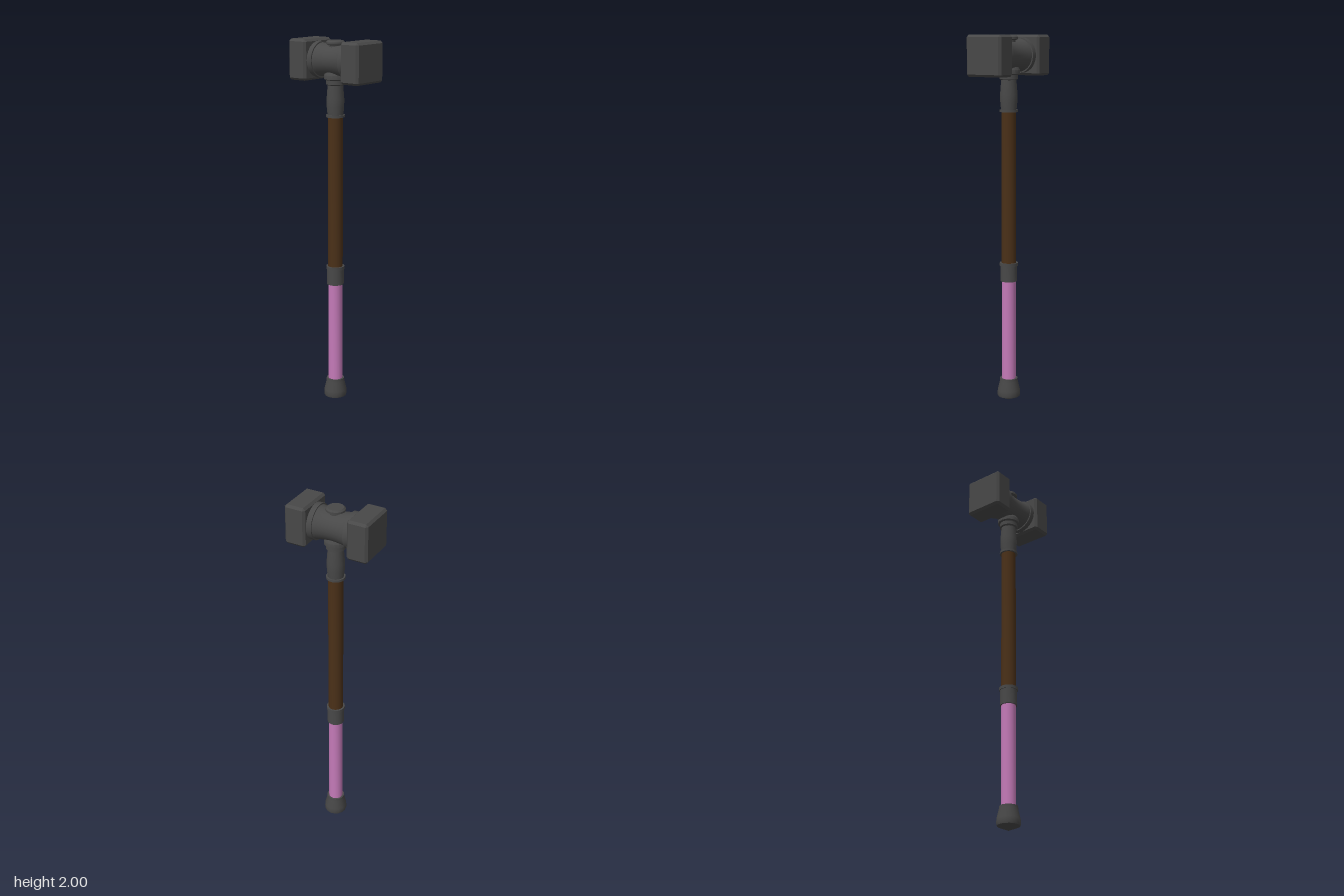
import * as THREE from 'three';
import { toCreasedNormals } from 'three/addons/utils/BufferGeometryUtils.js';
import { ConvexGeometry } from 'three/addons/geometries/ConvexGeometry.js';

const metal = new THREE.MeshStandardMaterial({ color: 0x484848 });
const wood = new THREE.MeshStandardMaterial({ color: 0x4a3018 });
const wrap = new THREE.MeshStandardMaterial({ color: 0xc47ab8 });

const HEAD_Y = 1.893;

// Turned part from [radius, height] pairs, listed from bottom to top
function turned(name, profile, material, sides = 16) {
  const points = profile.map(([r, y]) => new THREE.Vector2(r, y));
  const geometry = toCreasedNormals(new THREE.LatheGeometry(points, sides), 0.6);
  const mesh = new THREE.Mesh(geometry, material);
  mesh.name = name;
  return mesh;
}

// Box with flat chamfers on every edge
function chamferedBox(w, h, d, c) {
  const points = [];
  for (const x of [-1, 1]) for (const y of [-1, 1]) for (const z of [-1, 1]) {
    for (let axis = 0; axis < 3; axis++) {
      const inset = [0, 1, 2].map((i) => (i === axis ? 0 : c));
      points.push(new THREE.Vector3(
        x * (w / 2 - inset[0]), y * (h / 2 - inset[1]), z * (d / 2 - inset[2])));
    }
  }
  return new ConvexGeometry(points);
}

export function createModel() {
  const model = new THREE.Group();
  model.name = 'warHammer';

  // Shaft, from the pommel up
  model.add(
    turned('pommel', [
      [0, 0.005], [0.06, 0.03], [0.063, 0.04], [0.062, 0.065], [0.05, 0.115],
      [0.049, 0.132], [0, 0.132],
    ], metal),
    turned('grip', [[0.039, 0.12], [0.039, 0.69]], wrap),
    turned('gripCollar', [
      [0, 0.68], [0.046, 0.68], [0.046, 0.765], [0.05, 0.765], [0.05, 0.782], [0, 0.782],
    ], metal),
    turned('shaft', [[0.04, 0.77], [0.04, 1.61]], wood),
    turned('neck', [
      [0, 1.597], [0.05, 1.597], [0.05, 1.609], [0.042, 1.609], [0.046, 1.65],
      [0.047, 1.69], [0.041, 1.765], [0.05, 1.77], [0.05, 1.792], [0.06, 1.797],
      [0.06, 1.818], [0.05, 1.835],
    ], metal),
    turned('topCap', [
      [0.035, 1.95], [0.035, 1.972], [0.05, 1.978], [0.05, 1.988], [0.042, 1.996], [0, 1.996],
    ], metal),
  );

  // Head: waisted barrel lying along z, with a collar and a block at each end
  const head = new THREE.Group();
  head.name = 'head';
  head.position.y = HEAD_Y;

  const waist = [];
  for (let i = 0; i <= 10; i++) {
    const t = i / 5 - 1;
    waist.push([0.078 + 0.011 * t * t, t * 0.09]);
  }
  const barrel = turned('barrel', waist, metal, 24);
  barrel.rotation.x = Math.PI / 2;
  head.add(barrel);

  for (const side of [1, -1]) {
    const end = new THREE.Group();
    end.name = side > 0 ? 'frontEnd' : 'backEnd';
    end.rotation.y = side > 0 ? 0 : Math.PI;

    const collar = turned('collar', [[0, 0.087], [0.095, 0.087], [0.095, 0.12]], metal, 24);
    collar.rotation.x = Math.PI / 2;

    const block = new THREE.Mesh(chamferedBox(0.22, 0.214, 0.116, 0.012), metal);
    block.name = 'strikingBlock';
    block.position.z = 0.173;

    end.add(collar, block);
    head.add(end);
  }
  model.add(head);

  return model;
}
